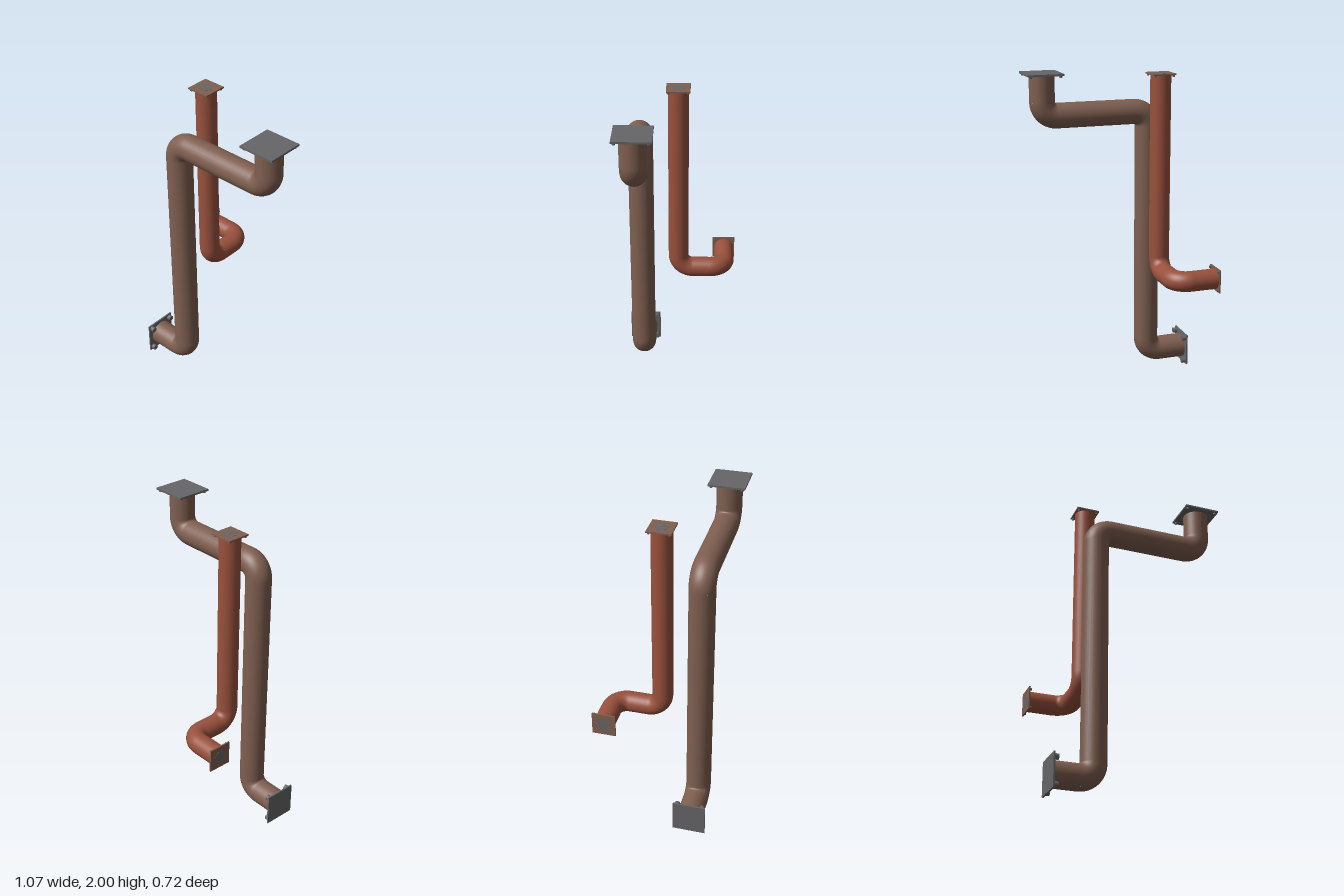
import * as THREE from 'three';

const brown = new THREE.MeshStandardMaterial({ name: 'brown paint', color: 0x7f5f50 });
const red = new THREE.MeshStandardMaterial({ name: 'red paint', color: 0x99513d });
const grey = new THREE.MeshStandardMaterial({ name: 'grey steel', color: 0x666668 });

// Quarter circle that turns from direction a to direction b
class Elbow extends THREE.Curve {
  constructor(corner, a, b, radius) {
    super();
    this.a = a.clone().multiplyScalar(radius);
    this.b = b.clone().multiplyScalar(radius);
    this.centre = corner.clone().sub(this.a).add(this.b);
  }
  getPoint(t, target = new THREE.Vector3()) {
    const angle = t * Math.PI / 2;
    return target.copy(this.centre)
      .addScaledVector(this.b, -Math.cos(angle))
      .addScaledVector(this.a, Math.sin(angle));
  }
}

// Straight runs joined by round elbows at the inner points
function makePipe(name, coords, radius, bend, material) {
  const group = new THREE.Group();
  group.name = name;
  const points = coords.map(c => new THREE.Vector3(...c));
  const add = (part, curve, steps) => {
    const mesh = new THREE.Mesh(new THREE.TubeGeometry(curve, steps, radius, 32), material);
    mesh.name = part;
    group.add(mesh);
  };
  let start = points[0];
  for (let i = 1; i < points.length; i++) {
    const a = points[i].clone().sub(points[i - 1]).normalize();
    const last = i === points.length - 1;
    const end = last ? points[i] : points[i].clone().addScaledVector(a, -bend);
    add('straightRun', new THREE.LineCurve3(start, end), 1);
    if (last) break;
    const b = points[i + 1].clone().sub(points[i]).normalize();
    add('elbow', new Elbow(points[i], a, b, bend), 16);
    start = points[i].clone().addScaledVector(b, bend);
  }
  return group;
}

// Square plate facing +y with its outer face at the origin and four bolts behind it
function makeFlange(name, o) {
  const group = new THREE.Group();
  group.name = name;
  const plate = new THREE.Mesh(new THREE.BoxGeometry(o.size, o.thick, o.size), o.material);
  plate.name = 'plate';
  plate.position.y = -o.thick / 2;
  group.add(plate);
  for (const sx of [-1, 1]) for (const sz of [-1, 1]) {
    const bolt = new THREE.Mesh(new THREE.CylinderGeometry(o.bolt, o.bolt, o.boltLength, 12), grey);
    bolt.name = 'bolt';
    bolt.position.set(sx * o.spread, -o.thick - o.boltLength / 2, sz * o.spread);
    group.add(bolt);
  }
  // Round steel cap in the middle of the outer face
  if (o.cap) {
    const cap = new THREE.Mesh(new THREE.CylinderGeometry(o.cap, o.cap, 0.002, 12), grey);
    cap.name = 'centreCap';
    group.add(cap);
  }
  group.position.set(...o.at);
  if (o.sideways) group.rotation.z = Math.PI / 2;
  return group;
}

export function createModel() {
  const model = new THREE.Group();
  model.name = 'pipes';

  // Large pipe in front
  model.add(makePipe('largePipe', [
    [-0.525, 0.108, 0.247], [-0.269, 0.108, 0.247], [-0.269, 1.732, 0.247],
    [0.418, 1.732, 0.247], [0.418, 1.99, 0.247],
  ], 0.079, 0.09, brown));
  model.add(makeFlange('largeLowerFlange', {
    at: [-0.535, 0.105, 0.247], size: 0.207, thick: 0.01, bolt: 0.018,
    boltLength: 0.025, spread: 0.08, material: grey, sideways: true,
  }));
  model.add(makeFlange('largeUpperFlange', {
    at: [0.418, 2, 0.247], size: 0.226, thick: 0.012, bolt: 0.01,
    boltLength: 0.011, spread: 0.095, material: grey,
  }));

  // Small pipe behind
  model.add(makePipe('smallPipe', [
    [-0.268, 1.99, 0.011], [-0.268, 0.749, 0.011],
    [-0.268, 0.749, -0.29], [-0.525, 0.749, -0.29],
  ], 0.064, 0.095, red));
  const small = {
    size: 0.147, thick: 0.009, bolt: 0.007, boltLength: 0.011,
    spread: 0.06, cap: 0.038, material: brown,
  };
  model.add(makeFlange('smallUpperFlange', { ...small, at: [-0.268, 1.999, 0.011] }));
  model.add(makeFlange('smallLowerFlange', { ...small, at: [-0.534, 0.749, -0.288], sideways: true }));

  return model;
}
